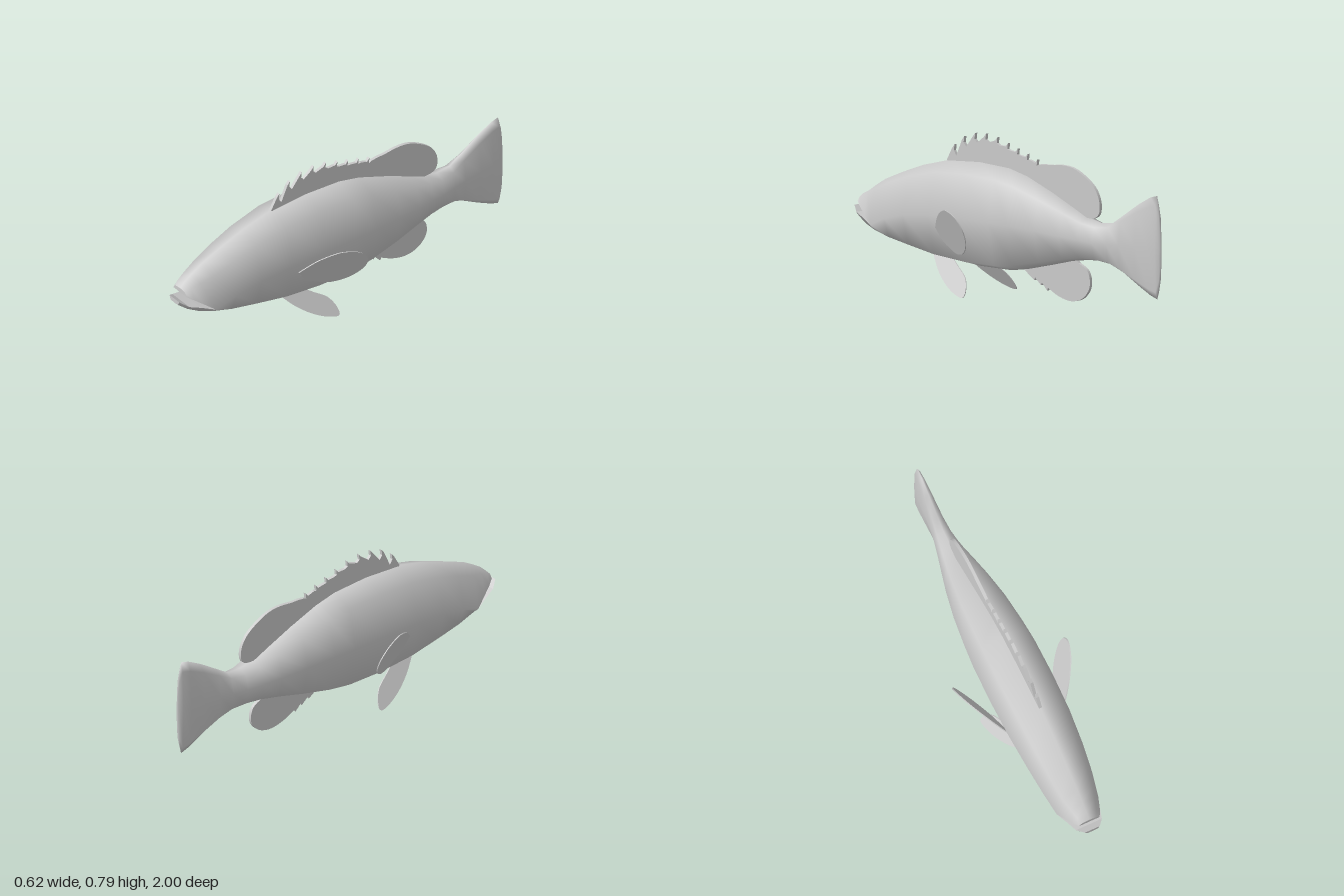
import * as THREE from 'three';

// Eight-sided cross-section, clockwise from the top: [z, top, bottom, halfWidth, sideY]
function ring([z, top, bot, w, mid]) {
  const up = top - 0.19 * (top - mid), low = bot + 0.14 * (mid - bot);
  return [
    [0, top, z], [0.72 * w, up, z], [w, mid, z], [0.74 * w, low, z],
    [0, bot, z], [-0.74 * w, low, z], [-w, mid, z], [-0.72 * w, up, z],
  ];
}

const UPPER = [6, 7, 0, 1, 2], LOWER = [2, 3, 4, 5, 6];

// Sections from the mouth corner back to the tail edge
const BODY = [
  [0.83, 0.495, 0.25, 0.112, 0.28],
  [0.72, 0.54, 0.215, 0.132, 0.325],
  [0.58, 0.59, 0.185, 0.149, 0.36],
  [0.40, 0.635, 0.15, 0.163, 0.38],
  [0.20, 0.648, 0.132, 0.168, 0.385],
  [0.0, 0.638, 0.132, 0.165, 0.385],
  [-0.12, 0.61, 0.148, 0.156, 0.38],
  [-0.28, 0.55, 0.185, 0.138, 0.37],
  [-0.42, 0.49, 0.22, 0.112, 0.355],
  [-0.52, 0.445, 0.237, 0.088, 0.345],
  [-0.60, 0.428, 0.24, 0.068, 0.335],
  [-0.68, 0.435, 0.23, 0.05, 0.335],
  [-0.75, 0.48, 0.2, 0.038, 0.335],
  [-0.85, 0.545, 0.145, 0.03, 0.34],
  [-0.93, 0.588, 0.105, 0.024, 0.34],
  [-0.975, 0.6, 0.09, 0.018, 0.34],
  [-0.992, 0.53, 0.16, 0.01, 0.34],
  [-1.0, 0.42, 0.25, 0.004, 0.34],
];

// Jaw sections from the mouth corner forwards
const SNOUT = [
  [0.89, 0.46, 0.3, 0.09, 0.325],
  [0.935, 0.43, 0.3, 0.073, 0.358],
  [0.965, 0.402, 0.3, 0.055, 0.378],
];
const JAW = [
  [0.9, 0.4, 0.27, 0.088, 0.306],
  [0.96, 0.4, 0.302, 0.07, 0.326],
  [1.0, 0.4, 0.33, 0.04, 0.354],
];

function bodyGeometry() {
  const pos = [], index = [];
  const add = (points) => points.map((p) => pos.push(...p) / 3 - 1);
  const strip = (front, back, closed) => {
    const n = front.length;
    for (let j = 0; j < (closed ? n : n - 1); j++) {
      const k = (j + 1) % n;
      index.push(front[j], front[k], back[k], front[j], back[k], back[j]);
    }
  };
  const rings = BODY.map((s) => add(ring(s)));
  for (let i = 0; i < rings.length - 1; i++) strip(rings[i], rings[i + 1], true);
  const tail = rings[rings.length - 1];
  for (let j = 1; j < 7; j++) index.push(tail[0], tail[j], tail[j + 1]);

  // The two jaws share the mouth-corner ring so the cheeks stay smooth
  for (const [sections, pick] of [[SNOUT, UPPER], [JAW, LOWER]]) {
    let back = pick.map((j) => rings[0][j]);
    for (const s of sections) {
      const r = ring(s), front = add(pick.map((j) => r[j]));
      strip(front, back, false);
      back = front;
    }
  }
  const g = new THREE.BufferGeometry();
  g.setAttribute('position', new THREE.Float32BufferAttribute(pos, 3));
  g.setIndex(index);
  g.computeVertexNormals();
  return g;
}

// Roof and floor of the mouth, plus the blunt lip fronts
function mouthGeometry() {
  const pos = [];
  const tri = (a, b, c) => pos.push(...a, ...b, ...c);
  for (const [sections, pick, roof] of [[SNOUT, UPPER, true], [JAW, LOWER, false]]) {
    let back = ring(BODY[0]);
    for (const s of sections) {
      const front = ring(s);
      const quad = [front[6], front[2], back[2], back[6]];
      if (roof) quad.reverse();
      tri(quad[0], quad[1], quad[2]);
      tri(quad[0], quad[2], quad[3]);
      back = front;
    }
    const lip = pick.map((j) => back[j]);
    for (let j = 1; j < 4; j++) tri(lip[0], lip[j + 1], lip[j]);
  }
  const g = new THREE.BufferGeometry();
  g.setAttribute('position', new THREE.Float32BufferAttribute(pos, 3));
  g.computeVertexNormals();
  return g;
}

const vec = (list) => list.map(([z, y]) => new THREE.Vector2(z, y));

// Thin plate drawn in (z, y); offset(z, y) gives the x of its middle
function finGeometry(shape, thickness, offset = () => 0) {
  const g = new THREE.ExtrudeGeometry(shape, { depth: thickness, bevelEnabled: false, curveSegments: 32 });
  const p = g.attributes.position;
  for (let i = 0; i < p.count; i++) {
    const z = p.getX(i), y = p.getY(i), d = p.getZ(i);
    p.setXYZ(i, offset(z, y) + thickness / 2 - d, y, z);
  }
  g.computeVertexNormals();
  return g;
}

function dorsalShape() {
  const s = new THREE.Shape();
  s.moveTo(0.36, 0.58);
  s.lineTo(0.415, 0.635);
  const tips = [[0.365, 0.715], [0.3, 0.762], [0.228, 0.785], [0.155, 0.79], [0.08, 0.78],
    [0.01, 0.758], [-0.055, 0.737], [-0.12, 0.718], [-0.185, 0.697]];
  // Each spine sweeps up and back, then drops to a notch
  tips.forEach(([z, y], i) => {
    s.lineTo(z + 0.015, y - 0.018);
    s.lineTo(z, y);
    s.lineTo(z + 0.004, y - 0.03);
    s.lineTo(z - 0.012, y - 0.055 + 0.004 * i);
  });
  s.lineTo(-0.23, 0.678);
  s.splineThru(vec([[-0.28, 0.68], [-0.35, 0.687], [-0.42, 0.68], [-0.49, 0.65], [-0.56, 0.6],
    [-0.595, 0.54], [-0.597, 0.48], [-0.57, 0.45], [-0.51, 0.443]]));
  s.lineTo(-0.48, 0.42);
  s.lineTo(-0.28, 0.5);
  s.lineTo(0, 0.58);
  return s;
}

function analShape() {
  const s = new THREE.Shape();
  s.moveTo(-0.08, 0.19);
  s.lineTo(-0.1, 0.145);
  for (const [z, y] of [[-0.165, 0.1], [-0.21, 0.08], [-0.25, 0.058]]) {
    s.lineTo(z, y);
    s.lineTo(z - 0.006, y + 0.014);
  }
  s.splineThru(vec([[-0.33, 0.037], [-0.41, 0.022], [-0.48, 0.04], [-0.525, 0.085],
    [-0.535, 0.135], [-0.515, 0.185], [-0.46, 0.215]]));
  s.lineTo(-0.42, 0.26);
  s.lineTo(-0.25, 0.24);
  return s;
}

function roundShape(points) {
  const s = new THREE.Shape();
  s.moveTo(...points[0]);
  s.splineThru(vec([...points.slice(1), points[0]]));
  return s;
}

export function createModel() {
  const group = new THREE.Group();
  group.name = 'fish';
  const grey = new THREE.MeshStandardMaterial({ color: 0xcccccc });
  grey.name = 'light grey';
  const part = (name, geometry) => {
    const mesh = new THREE.Mesh(geometry, grey);
    mesh.name = name;
    group.add(mesh);
  };

  part('body', bodyGeometry());
  part('mouth', mouthGeometry());
  part('dorsalFin', finGeometry(dorsalShape(), 0.016));
  part('analFin', finGeometry(analShape(), 0.016));

  // Paired fins lie on slanted planes
  const pectoral = roundShape([[0.357, 0.322], [0.29, 0.39], [0.22, 0.428], [0.165, 0.437], [0.09, 0.415],
    [0.045, 0.36], [0.045, 0.3], [0.08, 0.25], [0.13, 0.22], [0.195, 0.212], [0.25, 0.23], [0.31, 0.26]]);
  const pelvic = roundShape([[0.425, 0.18], [0.355, 0.108], [0.275, 0.05], [0.2, 0.014], [0.14, 0.002],
    [0.138, 0.04], [0.17, 0.092], [0.235, 0.135], [0.3, 0.175], [0.36, 0.195]]);
  for (const [side, s] of [['left', 1], ['right', -1]]) {
    part(side + 'PectoralFin', finGeometry(pectoral, 0.006,
      (z, y) => s * (0.155 + 0.42 * (0.355 - z) + 0.42 * (y - 0.325))));
    part(side + 'PelvicFin', finGeometry(pelvic, 0.005, (z, y) => s * (0.193 - 0.56 * y)));
  }
  return group;
}
